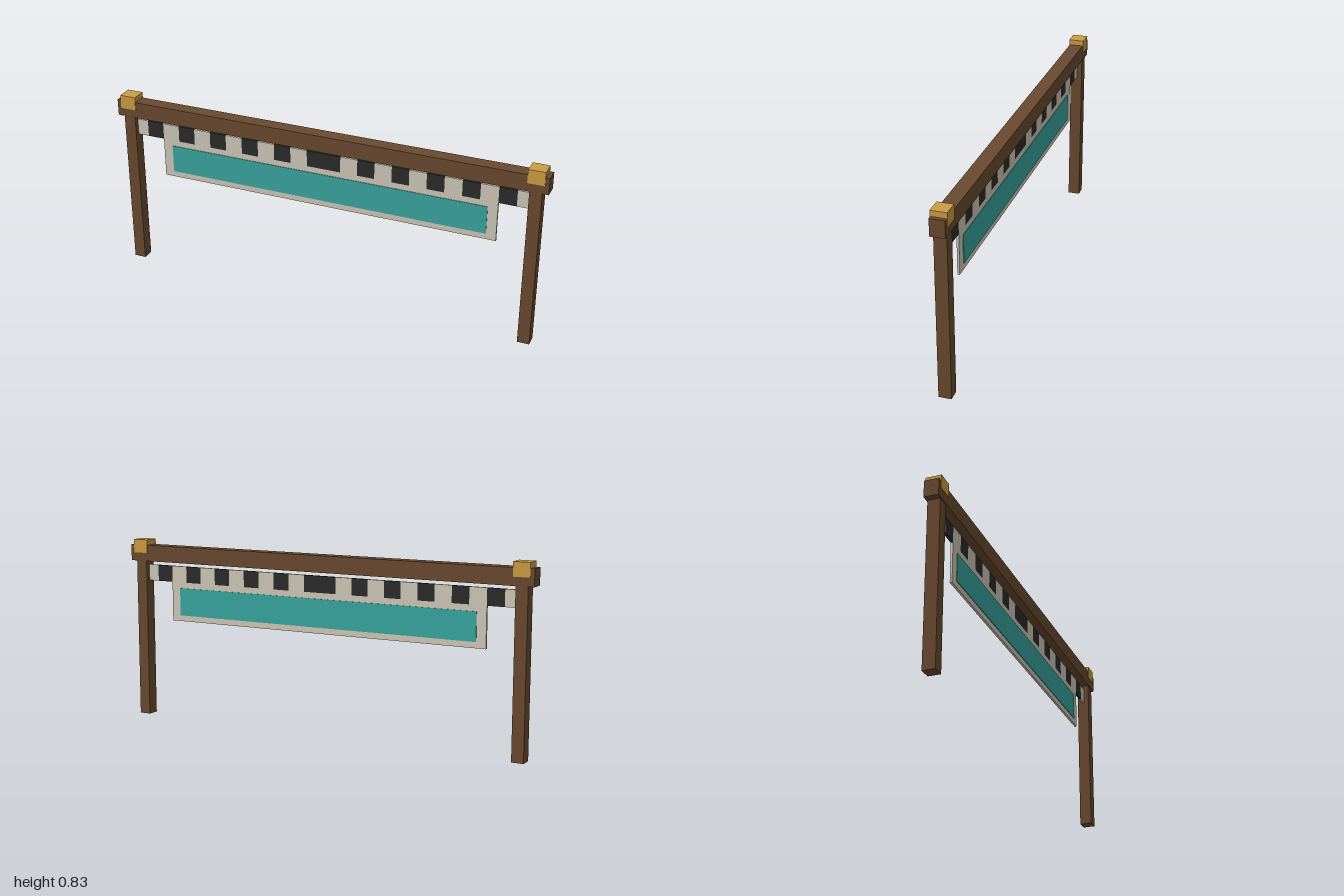
import * as THREE from 'three';

function flat(name, color) {
  const m = new THREE.MeshStandardMaterial({ color });
  m.name = name;
  return m;
}

export function createModel() {
  const wood = flat('brown wood', 0x6a4a30);
  const gold = flat('gold', 0xcd9d43);
  const cream = flat('cream cloth', 0xcfc9b8);
  const dark = flat('charcoal', 0x2b2b2b);
  const teal = flat('teal', 0x38a5a0);

  const model = new THREE.Group();
  model.name = 'bannerGate';

  // Box given by its x range, y range and depth, centred on z
  const box = (name, mat, x0, x1, y0, y1, depth, z = 0) => {
    const mesh = new THREE.Mesh(new THREE.BoxGeometry(x1 - x0, y1 - y0, depth), mat);
    mesh.position.set((x0 + x1) / 2, (y0 + y1) / 2, z);
    mesh.name = name;
    model.add(mesh);
  };

  // Frame: crossbeam, two posts and their caps
  box('crossbeam', wood, -1, 1, 0.735, 0.81, 0.064);
  for (const [side, s] of [['left', 1], ['right', -1]]) {
    const c = s * 0.945;
    box(side + 'Post', wood, c - 0.027, c + 0.027, 0, 0.735, 0.055);
    box(side + 'Cap', gold, c - 0.037, c + 0.037, 0.773, 0.835, 0.07);
  }

  // Checkered strip: alternating squares outward from the middle, cream ends
  const step = 0.0787, y0 = 0.642, y1 = 0.717, thick = 0.01;
  box('checkDark', dark, -step, step, y0, y1, thick);
  for (let i = 1; i <= 11; i++) {
    const a = i * step, b = i === 11 ? 0.918 : a + step;
    const [name, mat] = i % 2 ? ['checkLight', cream] : ['checkDark', dark];
    box(name, mat, a, b, y0, y1, thick);
    box(name, mat, -b, -a, y0, y1, thick);
  }

  // Hanging banner with a teal field on both faces
  box('bannerPanel', cream, -0.787, 0.787, 0.46, y0, thick);
  for (const s of [1, -1]) {
    box(s > 0 ? 'frontField' : 'backField', teal, -0.743, 0.743, 0.487, 0.615, 0.003, s * 0.0062);
  }

  return model;
}
